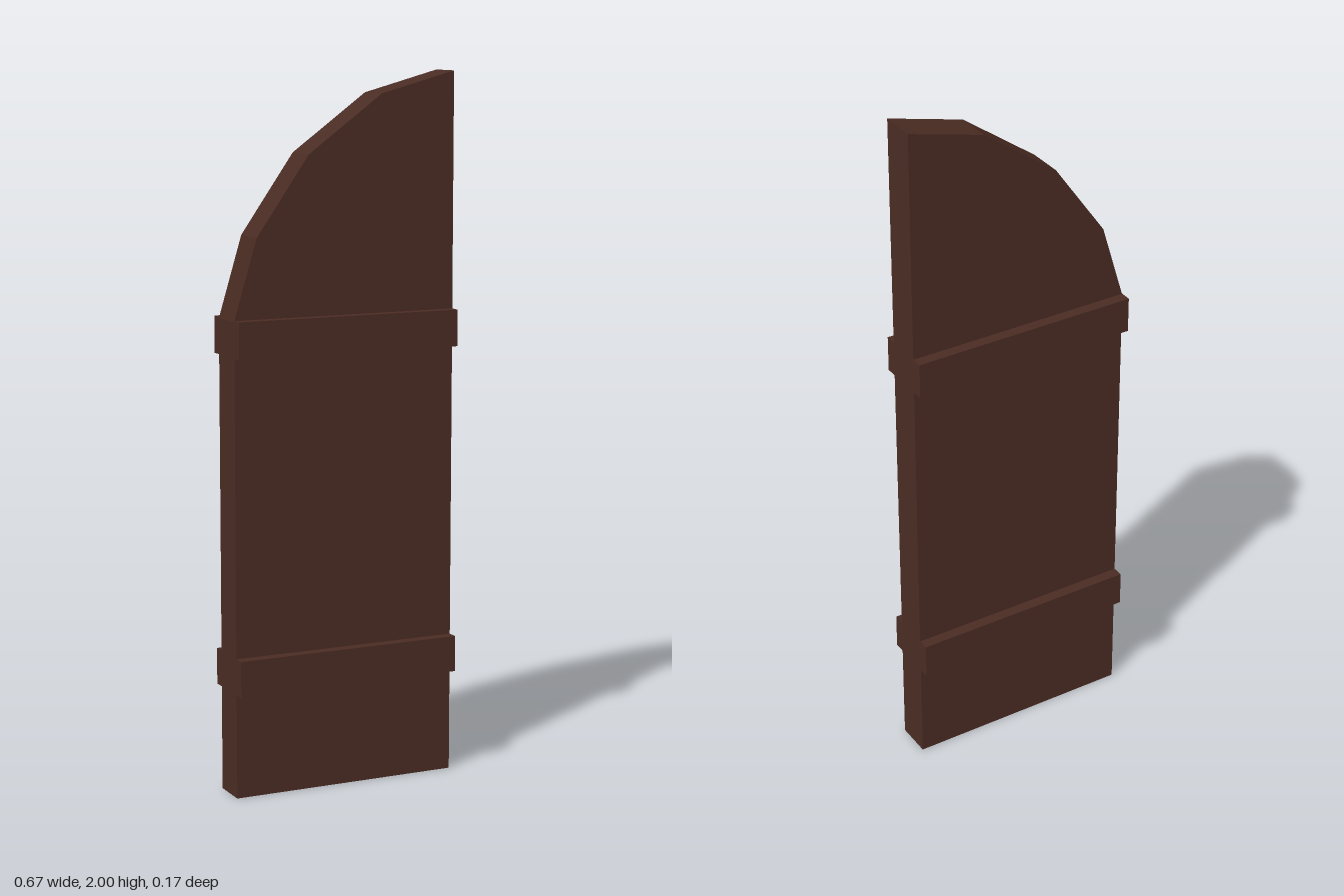
import * as THREE from 'three';

const WIDTH = 0.666;
const THICK = 0.105;

export function createModel() {
  const door = new THREE.Group();
  door.name = 'archedDoorLeaf';
  const wood = new THREE.MeshStandardMaterial({ color: 0x4a2c23 });
  wood.name = 'dark brown wood';

  // Door panel with a faceted quarter-arch top
  const outline = [
    [-0.333, 0], [0.333, 0], [0.333, 2], [0.11, 1.94],
    [-0.11, 1.78], [-0.265, 1.56], [-0.333, 1.335],
  ].map(([x, y]) => new THREE.Vector2(x, y));
  const panelGeometry = new THREE.ExtrudeGeometry(new THREE.Shape(outline), {
    depth: THICK, bevelEnabled: false,
  });
  panelGeometry.translate(0, 0, -THICK / 2);
  const panel = new THREE.Mesh(panelGeometry, wood);
  panel.name = 'doorPanel';
  door.add(panel);

  // Cross battens, two on each face
  const battenDepth = 0.0325;
  const battenGeometry = new THREE.BoxGeometry(WIDTH, 0.103, battenDepth);
  for (const [level, y] of [['lower', 0.348], ['upper', 1.287]]) {
    for (const [face, side] of [['Front', 1], ['Back', -1]]) {
      const batten = new THREE.Mesh(battenGeometry, wood);
      batten.name = `${level}${face}Batten`;
      batten.position.set(0, y, side * (THICK + battenDepth) / 2);
      door.add(batten);
    }
  }
  return door;
}
